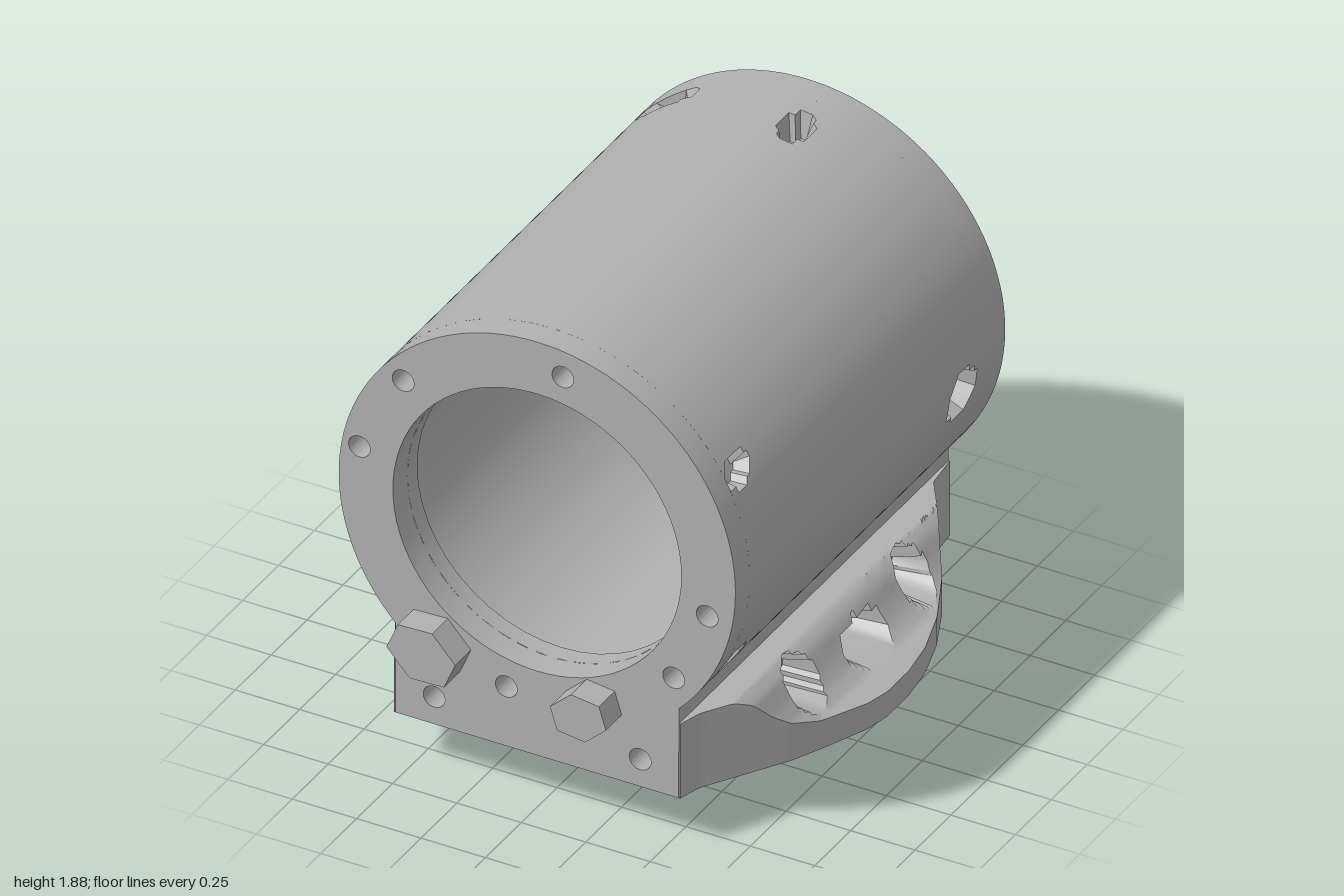
import * as THREE from 'three';
import { toCreasedNormals } from 'three/addons/utils/BufferGeometryUtils.js';

const CY = 1.11, R = 0.77, FRONT = 0.89, BACK = -0.99, CAP = 0.1;
const metal = new THREE.MeshStandardMaterial({ color: 0xb0b0b0, side: THREE.DoubleSide });
metal.name = 'grey metal';

// Grid surface from a point function of two counters
function gridGeometry(nu, nv, point) {
  const pos = [], idx = [];
  for (let i = 0; i <= nu; i++) for (let j = 0; j <= nv; j++) pos.push(...point(i, j));
  for (let i = 0; i < nu; i++) for (let j = 0; j < nv; j++) {
    const a = i * (nv + 1) + j, b = a + nv + 1;
    idx.push(a, b, a + 1, b, b + 1, a + 1);
  }
  const g = new THREE.BufferGeometry();
  g.setAttribute('position', new THREE.Float32BufferAttribute(pos, 3));
  g.setIndex(idx);
  return toCreasedNormals(g, 0.6);
}

export function createModel() {
  const model = new THREE.Group();
  const add = (name, geo, x = 0, y = 0, z = 0) => {
    const m = new THREE.Mesh(geo, metal);
    m.name = name;
    m.position.set(x, y, z);
    model.add(m);
    return m;
  };

  // End caps: round ring joined to the base, with bore and screw holes
  function endCap(name, bore, holes, z) {
    const s = new THREE.Shape();
    s.moveTo(-0.55, 0.21);
    s.lineTo(0.55, 0.21);
    s.absarc(0, CY, R, -0.775, Math.PI + 0.775, false);
    s.closePath();
    const hole = (x, y, r) => {
      const p = new THREE.Path();
      p.absarc(x, y, r, 0, Math.PI * 2, true);
      s.holes.push(p);
    };
    hole(0, CY, bore);
    for (const [x, y] of holes) hole(x, y, 0.042);
    const g = new THREE.ExtrudeGeometry(s, { depth: CAP, bevelEnabled: false, curveSegments: 40 });
    add(name, toCreasedNormals(g, 0.6), 0, 0, z);
  }
  endCap('frontCap', 0.56, [[0.1, 1.77], [-0.52, 1.56], [-0.69, 1.24], [0.66, 0.98],
    [0.53, 0.69], [-0.12, 0.45], [-0.4, 0.32], [0.4, 0.32]], FRONT - CAP);
  endCap('backCap', 0.35, [[0.36, 1.69], [-0.57, 1.47], [0.57, 0.75], [-0.36, 0.53],
    [-0.4, 0.31], [0.4, 0.31]], BACK);

  // Outer barrel with drilled pockets: angle, z, half arc width, half length, depth
  const pockets = [
    [-0.13, -0.7, 0.085, 0.085, 0.12], [1.43, -0.72, 0.045, 0.085, 0.1],
    [2.23, -0.85, 0.14, 0.045, 0.03], [-0.7, -0.85, 0.08, 0.05, 0.07],
    [0.5, 0.71, 0.05, 0.07, 0.06], [-0.55, 0.71, 0.05, 0.07, 0.06],
    [2.6, 0.71, 0.05, 0.07, 0.06]];
  const z0 = BACK + CAP, z1 = FRONT - CAP;
  add('barrel', gridGeometry(200, 90, (i, j) => {
    const a = i / 200 * Math.PI * 2, z = z0 + (z1 - z0) * j / 90;
    let r = R;
    for (const [pa, pz, w, l, d] of pockets) {
      const da = Math.atan2(Math.sin(a - pa), Math.cos(a - pa)) * R;
      if ((da / w) ** 2 + ((z - pz) / l) ** 2 < 1) r = R - d;
    }
    return [r * Math.cos(a), CY + r * Math.sin(a), z];
  }));

  // Inner bore, dividing wall with a shaft hole, and rear recess
  const profile = [[0.56, z1], [0.56, 0.72], [0.63, 0.72], [0.63, -0.6], [0.15, -0.6],
    [0.15, -0.74], [0.35, -0.74], [0.35, z0]].map(([r, z]) => new THREE.Vector2(r, z));
  const bore = new THREE.LatheGeometry(profile, 48);
  bore.rotateX(Math.PI / 2);
  add('bore', toCreasedNormals(bore, 0.6), 0, CY, 0);

  // Saddle block under the barrel
  const saddle = new THREE.Shape();
  saddle.moveTo(-0.55, 0.21);
  saddle.lineTo(0.55, 0.21);
  saddle.lineTo(0.55, 0.6);
  saddle.absarc(0, CY, 0.74, -0.75, -Math.PI + 0.75, true);
  saddle.lineTo(-0.55, 0.6);
  add('saddle', new THREE.ExtrudeGeometry(saddle, { depth: z1 - z0, bevelEnabled: false }), 0, 0, z0);

  // Mounting wings: bulging outline with a scooped top
  const lerpTable = (table, t) => {
    for (let k = 1; k < table.length; k++) {
      const [a, va] = table[k - 1], [b, vb] = table[k];
      if (t <= b) return va + (vb - va) * Math.max(0, (t - a) / (b - a));
    }
    return table[table.length - 1][1];
  };
  const outline = [[BACK, 0.555], [-0.85, 0.57], [-0.55, 0.77], [-0.37, 0.85], [-0.2, 0.9], [-0.05, 0.92],
    [0.1, 0.92], [0.2, 0.9], [0.37, 0.83], [0.5, 0.77], [0.8, 0.58], [FRONT, 0.555]];
  const scoop = [[0.5, 0.51], [0.65, 0.51], [0.69, 0.48], [0.73, 0.41], [0.77, 0.36], [0.82, 0.325], [0.92, 0.31]];
  const wingHoles = [[0.34, 0.42, 0.085, 0.085], [-0.43, 0.42, 0.085, 0.085], [-0.05, 0.385, 0.13, 0.06]];
  const NP = 26, NZ = 110;
  for (const side of [1, -1]) {
    add(side > 0 ? 'leftWing' : 'rightWing', gridGeometry(NZ, NP + 2, (i, j) => {
      const z = BACK + (FRONT - BACK) * i / NZ, edge = lerpTable(outline, z);
      if (j === 0) return [side * 0.5, 0.21, z];
      if (j === 1) return [side * edge, 0.21, z];
      let x = edge + (0.5 - edge) * (j - 2) / NP;
      const y = lerpTable(scoop, x);
      if (side > 0 && j > 2) for (const [hz, hy, w, h] of wingHoles)
        if (((z - hz) / w) ** 2 + ((y - hy) / h) ** 2 < 1) x = Math.min(x, 0.6);
      return [side * x, y, z];
    }));
  }

  // Round boss and nut below the base
  add('boss', new THREE.CylinderGeometry(0.41, 0.41, 0.09, 40), 0, 0.168, 0);
  const lowPoly = (g) => toCreasedNormals(g, 0.3);
  add('centreNut', lowPoly(new THREE.CylinderGeometry(0.145, 0.125, 0.13, 8)), 0, 0.065, 0);
  add('wingBolt', lowPoly(new THREE.CylinderGeometry(0.075, 0.055, 0.14, 7)), -0.795, 0.15, 0.03);

  // Bolt heads on the front face
  for (const [x, y, r, turn] of [[-0.39, 0.55, 0.14, 0.4], [0.22, 0.49, 0.115, -0.3]]) {
    const g = new THREE.CylinderGeometry(r, r, 0.13, 6);
    g.rotateX(Math.PI / 2);
    g.scale(1, 0.8, 1);
    g.rotateZ(-turn);
    add('frontBolt', lowPoly(g), x, y, 0.935);
  }
  return model;
}
